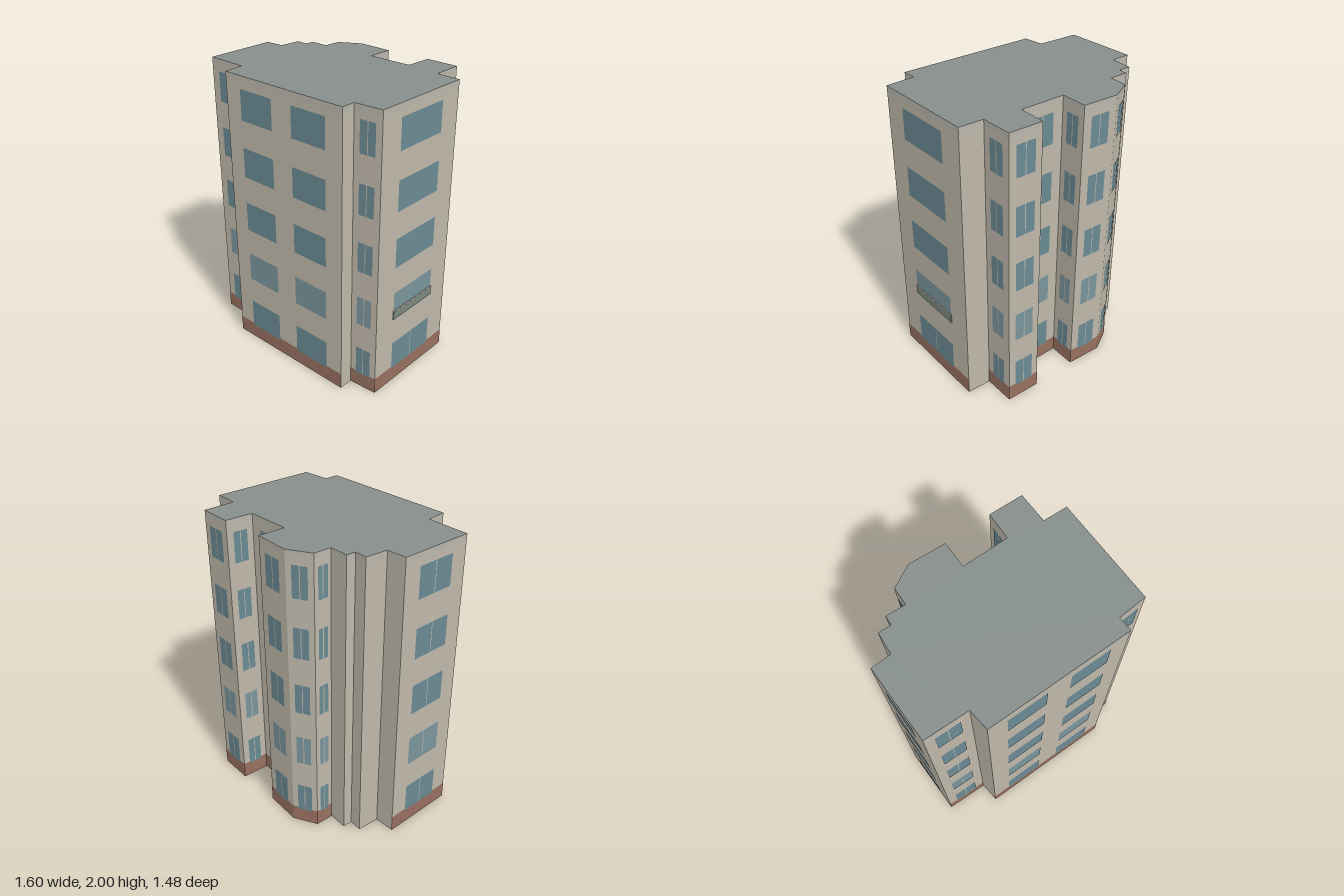
import * as THREE from 'three';

const mat = (color) => new THREE.MeshStandardMaterial({ color, roughness: 0.9, flatShading: true });

// Footprint corners as [x, z]
const plan = [
  [-0.80, -0.37], [-0.435, -0.735], [-0.335, -0.64], [-0.218, -0.74], [-0.16, -0.675],
  [-0.112, -0.718], [-0.022, -0.62], [0.068, -0.705], [0.235, -0.655], [0.405, -0.465],
  [0.27, -0.337], [0.495, -0.11], [0.637, -0.24], [0.80, -0.067], [0.645, 0.088],
  [0.76, 0.212], [0.23, 0.735], [0.08, 0.602], [0.01, 0.673], [-0.687, -0.037], [-0.593, -0.15],
];

// Walls with a brick plinth: start corner -> window columns [offset, width, panes]
const facades = {
  0: [[0, 0.275, 2]],
  6: [[0, 0.07, 2]],
  7: [[0, 0.1, 2]],
  8: [[0, 0.138, 2]],
  9: [[0, 0.1, 2]],
  10: [[0, 0.168, 2]],
  11: [[0, 0.1, 2]],
  12: [[0, 0.138, 2]],
  13: [[0, 0.113, 2]],
  15: [[0, 0.405, 1]],
  16: [[0, 0.113, 2]],
  18: [[-0.225, 0.28, 1], [0.225, 0.28, 1]],
  20: [[0, 0.17, 2]],
};

const FLOORS = 5, STOREY = 0.4, SILL = 0.103, WIN_H = 0.21, PLINTH = 0.115, SLAB = 0.04;

function slab(name, y, height, capMat, sideMat) {
  const shape = new THREE.Shape(plan.map(([x, z]) => new THREE.Vector2(x, -z)));
  const geo = new THREE.ExtrudeGeometry(shape, { depth: height, bevelEnabled: false });
  geo.rotateX(-Math.PI / 2);
  const mesh = new THREE.Mesh(geo, [capMat, sideMat]);
  mesh.name = name;
  mesh.position.y = y;
  return mesh;
}

export function createModel() {
  const model = new THREE.Group();
  model.name = 'apartmentBlock';
  const wall = mat(0xbfb8aa), roof = mat(0x868e8b), trim = mat(0xb8b6ac), brick = mat(0x976f5f);
  const glass = mat(0x6a8a93), paleGlass = mat(0x7a959d), railing = mat(0x7c8880);

  // Main body and roof
  model.add(slab('walls', 0, 2 - SLAB, wall, wall));
  model.add(slab('roof', 2 - SLAB, SLAB, roof, trim));

  // Adds a thin panel to a facade group
  const panel = (group, name, x, y, w, h, z, material) => {
    const mesh = new THREE.Mesh(new THREE.PlaneGeometry(w, h), material);
    mesh.name = name;
    mesh.position.set(x, y, z);
    group.add(mesh);
  };

  for (const [key, columns] of Object.entries(facades)) {
    const i = Number(key);
    const [x0, z0] = plan[i], [x1, z1] = plan[(i + 1) % plan.length];
    const dx = x1 - x0, dz = z1 - z0, length = Math.hypot(dx, dz);

    // Group origin at wall centre, local +z pointing outwards
    const facade = new THREE.Group();
    facade.name = 'facade' + i;
    facade.position.set((x0 + x1) / 2, 0, (z0 + z1) / 2);
    facade.rotation.y = Math.atan2(dz, -dx);
    model.add(facade);

    panel(facade, 'brickPlinth', 0, PLINTH / 2, length, PLINTH, 0.0015, brick);

    // Windows, split into panes by a narrow gap
    for (const [offset, width, panes] of columns) {
      for (let f = 0; f < FLOORS; f++) {
        const n = i === 15 && f === 0 ? 2 : panes;
        const gap = 0.006, w = (width - gap * (n - 1)) / n;
        const y = SILL + f * STOREY + WIN_H / 2;
        if (n > 1) panel(facade, 'windowFrame', offset, y, gap, WIN_H, 0.0025, trim);
        for (let p = 0; p < n; p++) {
          const x = offset + (p - (n - 1) / 2) * (w + gap);
          panel(facade, 'windowPane', x, y, w, WIN_H, 0.003, f === 1 ? paleGlass : glass);
        }
      }
    }

    // Shallow balcony above the entrance
    if (i === 15) {
      const front = new THREE.Mesh(new THREE.BoxGeometry(0.41, 0.058, 0.007), railing);
      front.name = 'balconyFront';
      front.position.set(0, 0.54, 0.0045);
      const rail = new THREE.Mesh(new THREE.BoxGeometry(0.41, 0.008, 0.008), trim);
      rail.name = 'balconyRail';
      rail.position.set(0, 0.574, 0.0045);
      facade.add(front, rail);
    }
  }
  return model;
}
